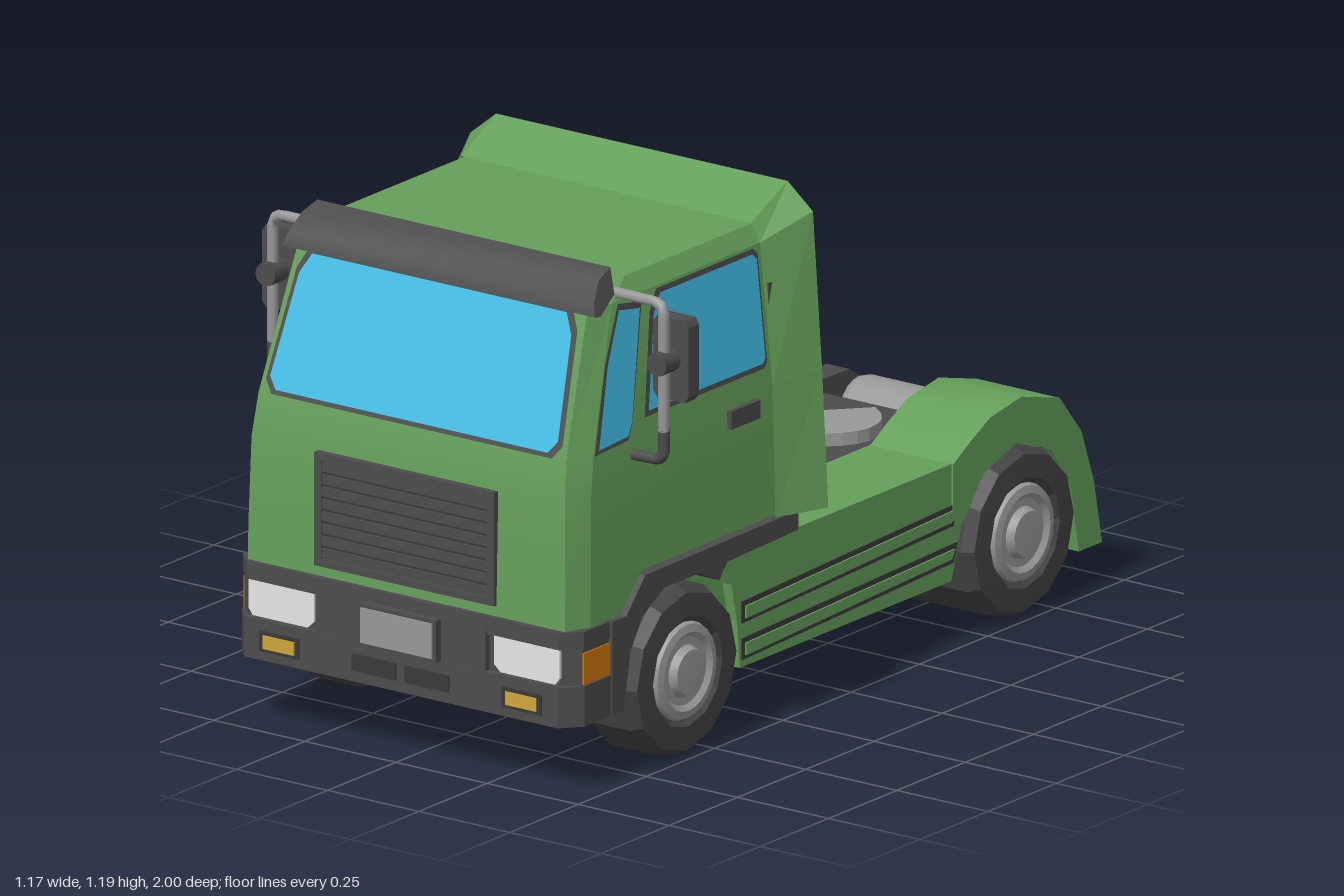
import * as THREE from 'three';
import { toCreasedNormals } from 'three/addons/utils/BufferGeometryUtils.js';

const mat = (name, color) => Object.assign(new THREE.MeshStandardMaterial({ color }), { name });

export function createModel() {
  const green = mat('green paint', 0x659f5a), dark = mat('dark plastic', 0x4c4c4c), tyre = mat('tyre rubber', 0x444444);
  const steel = mat('steel', 0x989898), glass = mat('blue glass', 0x42bfe6), lamp = mat('lamp white', 0xe6e6e6);
  const orange = mat('orange lens', 0xd2780a), yellow = mat('yellow lens', 0xcfa53c), black = mat('black recess', 0x3a3a3a);
  const model = new THREE.Group();
  model.name = 'tractorTruck';

  const add = (name, geo, material) => {
    const m = new THREE.Mesh(geo, material);
    m.name = name;
    model.add(m);
  };
  // mirrored copy across x = 0 with corrected winding
  const flip = (geo) => {
    const g = geo.index ? geo.toNonIndexed() : geo.clone();
    g.scale(-1, 1, 1);
    for (const key of Object.keys(g.attributes)) {
      const a = g.attributes[key], n = a.itemSize;
      for (let i = 0; i < a.count; i += 3)
        for (let k = 0; k < n; k++) {
          const p = (i + 1) * n + k, q = (i + 2) * n + k, t = a.array[p];
          a.array[p] = a.array[q];
          a.array[q] = t;
        }
    }
    return g;
  };
  const pair = (name, geo, material) => {
    add(name + 'Left', geo, material);
    add(name + 'Right', flip(geo), material);
  };
  const box = (x0, x1, y0, y1, z0, z1) =>
    new THREE.BoxGeometry(x1 - x0, y1 - y0, z1 - z0).translate((x0 + x1) / 2, (y0 + y1) / 2, (z0 + z1) / 2);
  const shape = (pts) => new THREE.Shape(pts.map((p) => new THREE.Vector2(p[0], p[1])));
  const extrude = (pts, depth) => new THREE.ExtrudeGeometry(shape(pts), { depth, bevelEnabled: false });
  const sideExtrude = (zy, x0, x1) => extrude(zy, x1 - x0).rotateY(-Math.PI / 2).translate(x1, 0, 0);
  const planExtrude = (xz, y0, y1) => extrude(xz, y1 - y0).rotateX(Math.PI / 2).translate(0, y1, 0);
  const faces = (tris) => {
    const g = new THREE.BufferGeometry();
    g.setAttribute('position', new THREE.Float32BufferAttribute(tris.flat(), 3));
    g.computeVertexNormals();
    return g;
  };
  // closed rings stacked upward, with caps
  const loft = (rings) => {
    const t = [], n = rings[0].length, last = rings[rings.length - 1];
    for (let i = 0; i + 1 < rings.length; i++)
      for (let j = 0; j < n; j++) {
        const k = (j + 1) % n, a = rings[i][j], b = rings[i][k], c = rings[i + 1][k], d = rings[i + 1][j];
        t.push(a, b, c, a, c, d);
      }
    for (let j = 1; j + 1 < n; j++) t.push(last[0], last[j], last[j + 1], rings[0][0], rings[0][j + 1], rings[0][j]);
    return faces(t);
  };

  // cab shell: height, half width, front half width, front z
  const rows = [[0.375, 0.46, 0.435, 0.962], [0.46, 0.46, 0.435, 0.96], [0.66, 0.456, 0.43, 0.955],
    [0.758, 0.452, 0.422, 0.94], [1.08, 0.418, 0.397, 0.828], [1.12, 0.395, 0.37, 0.75]];
  const at = (y, k) => {
    let i = 0;
    while (i < rows.length - 2 && y > rows[i + 1][0]) i++;
    return THREE.MathUtils.lerp(rows[i][k], rows[i + 1][k], (y - rows[i][0]) / (rows[i + 1][0] - rows[i][0]));
  };
  const ring = ([y, w, wf, f], back) =>
    [[-wf, y, f], [wf, y, f], [w, y, f - 0.06], [w, y, back], [-w, y, back], [-w, y, f - 0.06]];
  add('cabNose', loft([ring(rows[0], 0.78), ring(rows[1], 0.71)]), green);
  add('cabBody', toCreasedNormals(loft(rows.slice(1).map((r) => ring(r, 0.22))), 0.35), green);

  // flared wind deflector behind the cab, visible on both faces
  const half = [[0.464, 0.455, 0.512, 0.455], [0.456, 0.758, 0.495, 0.77], [0.422, 1.082, 0.47, 1.13], [0.397, 1.123, 0.4, 1.187]];
  const arch = [...half, ...half.map(([a, b, c, d]) => [-a, b, -c, d]).reverse()];
  const flare = [];
  for (let i = 0; i + 1 < arch.length; i++) {
    const [p, q] = [arch[i], arch[i + 1]];
    const a = [p[0], p[1], 0.23], b = [p[2], p[3], 0.1], c = [q[2], q[3], 0.1], d = [q[0], q[1], 0.23];
    flare.push(a, b, c, a, c, d, a, c, b, a, d, c);
  }
  add('windDeflector', faces(flare), green);
  add('cabBackPanel', box(-0.44, 0.44, 0.455, 0.99, 0.205, 0.222), dark);
  add('cabBackUpperPanel', box(-0.41, 0.41, 0.99, 1.1, 0.205, 0.222), steel);

  // thin plates that follow the cab faces
  const bend = (pts, fn) => {
    const g = new THREE.ShapeGeometry(shape(pts)), p = g.attributes.position;
    for (let i = 0; i < p.count; i++) p.setXYZ(i, ...fn(p.getX(i), p.getY(i)));
    g.computeVertexNormals();
    return g;
  };
  const frontPlate = (pts, off) => bend(pts, (x, y) => [x, y, at(y, 3) + off]);
  const sidePlate = (zy, off) => bend(zy.map(([z, y]) => [-z, y]), (u, y) => [at(y, 1) + off, y, -u]);
  const shrink = (pts, d) => {
    const c = [0, 1].map((k) => pts.reduce((s, p) => s + p[k], 0) / pts.length);
    const h = [0, 1].map((k) => Math.max(...pts.map((p) => Math.abs(p[k] - c[k]))));
    return pts.map((p) => p.map((v, k) => c[k] + (v - c[k]) * (1 - d / h[k])));
  };
  const screen = [[-0.385, 0.761], [0.385, 0.761], [0.407, 0.79], [0.385, 1.03], [0.36, 1.078], [-0.36, 1.078], [-0.385, 1.03], [-0.407, 0.79]];
  add('windscreenFrame', frontPlate(screen, 0.004), dark);
  add('windscreen', frontPlate(shrink(screen, 0.012), 0.008), glass);
  const doorWindow = [[0.69, 0.803], [0.25, 0.803], [0.24, 0.815], [0.24, 1.06], [0.255, 1.075], [0.61, 1.075], [0.64, 1.03]];
  const quarterWindow = [[0.878, 0.762], [0.755, 0.768], [0.735, 0.8], [0.665, 1.06], [0.75, 1.075], [0.815, 0.95]];
  for (const [name, pts] of [['doorWindow', doorWindow], ['quarterWindow', quarterWindow]]) {
    pair(name + 'Frame', sidePlate(pts, 0.003), dark);
    pair(name, sidePlate(shrink(pts, 0.013), 0.006), glass);
  }
  pair('doorHandle', box(0.445, 0.465, 0.7, 0.742, 0.285, 0.392), dark);
  // sun visor, narrowing toward its top edge
  const visor = sideExtrude([[0.845, 1.07], [0.835, 1.1], [0.8, 1.14], [0.752, 1.157], [0.76, 1.1], [0.825, 1.066]], -0.43, 0.43);
  const vp = visor.attributes.position;
  for (let i = 0; i < vp.count; i++) vp.setX(i, vp.getX(i) * (1 - (vp.getY(i) - 1.066) * 0.7));
  add('sunVisor', toCreasedNormals(visor, 0.7), dark);

  // grille: frame with slats set inside it
  add('grilleRecess', box(-0.24, 0.24, 0.405, 0.657, 0.94, 0.962), black);
  for (const [x0, x1, y0, y1] of [[-0.247, 0.247, 0.645, 0.662], [-0.247, 0.247, 0.4, 0.417], [-0.247, -0.228, 0.417, 0.645], [0.228, 0.247, 0.417, 0.645]])
    add('grilleFrame', box(x0, x1, y0, y1, 0.94, 0.971), dark);
  for (let i = 0; i < 8; i++) add('grilleSlat', box(-0.228, 0.228, 0.42 + i * 0.0285, 0.441 + i * 0.0285, 0.95, 0.968), dark);

  // front bumper and its lamps
  const plan = (w, f, c) => [[-w, 0.79], [w, 0.79], [w, f - c], [w - 0.04, f], [-w + 0.04, f], [-w, f - c]];
  add('bumperTop', planExtrude(plan(0.468, 0.975, 0.04), 0.335, 0.375), dark);
  add('bumperMiddle', planExtrude(plan(0.464, 0.965, 0.03), 0.245, 0.335), dark);
  add('bumperLower', planExtrude(plan(0.47, 0.982, 0.045), 0.157, 0.25), dark);
  add('bumperCentre', box(-0.23, 0.23, 0.24, 0.345, 0.9, 0.978), dark);
  add('frontPlate', box(-0.107, 0.107, 0.249, 0.346, 0.97, 0.996), dark);
  add('frontPlateFace', box(-0.098, 0.098, 0.257, 0.338, 0.99, 1), steel);
  pair('headlamp', extrude([[0.265, 0.252], [0.415, 0.252], [0.427, 0.268], [0.427, 0.333], [0.247, 0.333], [0.247, 0.268]], 0.009).translate(0, 0, 0.962), lamp);
  pair('fogLampBezel', box(0.278, 0.387, 0.178, 0.226, 0.975, 0.985), black);
  pair('fogLamp', box(0.29, 0.375, 0.186, 0.217, 0.98, 0.988), yellow);
  pair('bumperVent', box(0.012, 0.133, 0.182, 0.222, 0.975, 0.985), black);
  pair('sideIndicator', box(0.455, 0.467, 0.252, 0.325, 0.813, 0.935), orange);

  // front wheel arches and cab floor
  pair('frontArch', sideExtrude([[0.79, 0.375], [0.72, 0.452], [0.16, 0.457], [0.16, 0.412], [0.42, 0.405], [0.45, 0.37],
    [0.52, 0.405], [0.65, 0.405], [0.73, 0.36], [0.775, 0.29], [0.8, 0.16], [0.84, 0.16], [0.84, 0.375]], 0.24, 0.475), dark);
  add('cabFloor', box(-0.3, 0.3, 0.37, 0.457, 0.16, 0.8), dark);

  // chassis
  add('chassisFloor', box(-0.235, 0.235, 0.27, 0.365, -0.77, 0.82), dark);
  pair('chassisRail', planExtrude([[0.235, 0.8], [0.16, 0.8], [0.16, 0.1], [0.15, -0.05], [0.11, -0.4], [0.17, -0.77], [0.235, -0.77]], 0.22, 0.388), dark);
  pair('railEnd', sideExtrude([[-0.77, 0.388], [-0.89, 0.385], [-0.945, 0.35], [-0.975, 0.28], [-0.978, 0.157],
    [-0.92, 0.157], [-0.89, 0.22], [-0.77, 0.25]], 0.172, 0.235), dark);
  add('rearBar', box(-0.4, 0.4, 0.155, 0.197, -1, -0.955), dark);
  const tank = [[0, -0.17], [0.055, -0.17], [0.073, -0.158], [0.078, -0.14], [0.078, 0.14], [0.073, 0.158], [0.055, 0.17], [0, 0.17]];
  const lathe = (pts, n) => new THREE.LatheGeometry(pts.map((p) => new THREE.Vector2(...p)), n).rotateZ(-Math.PI / 2);
  add('airTank', lathe(tank, 20).translate(0, 0.295, -0.905), steel);

  // coupling plate with a slot open to the rear
  const plate = [[0, -0.01]];
  for (let i = 0; i <= 20; i++) {
    const a = -0.98 + (i / 20) * (Math.PI + 1.96);
    plate.push([0.18 * Math.cos(a), (a < 0 || a > Math.PI ? 0.145 : 0.135) * Math.sin(a)]);
  }
  add('couplingPlate', planExtrude(plate, 0.39, 0.42).translate(0, 0, -0.5), steel);
  add('couplingPin', new THREE.CylinderGeometry(0.033, 0.033, 0.033, 12).translate(0, 0.408, -0.5), dark);

  // side skirts, decks and rear mudguards
  pair('deck', box(0.235, 0.46, 0.385, 0.41, -0.47, 0.41), green);
  const skirt = [[0.425, 0.41], [0.385, 0.34], [0.365, 0.25], [0.355, 0.14], [-0.42, 0.14], [-0.46, 0.27], [-0.53, 0.36], [-0.5, 0.41]];
  pair('skirt', sideExtrude(skirt, 0.435, 0.46), green);
  pair('skirtInner', sideExtrude(skirt, 0.236, 0.25), green);
  for (const [y0, y1] of [[0.242, 0.308], [0.157, 0.218]]) {
    pair('skirtGroove', sideExtrude([[0.35, y0], [0.35, y0 + 0.05], [-0.44, y1 + 0.008], [-0.425, y0 + 0.025]], 0.45, 0.463), black);
    pair('skirtStrip', sideExtrude([[0.34, y0 + 0.01], [0.34, y0 + 0.038], [-0.425, y1 - 0.004], [-0.415, y0 + 0.036]], 0.45, 0.467), green);
  }
  pair('rearMudguard', toCreasedNormals(sideExtrude([[-0.42, 0.41], [-0.48, 0.445], [-0.555, 0.483], [-0.67, 0.502], [-0.81, 0.463], [-0.89, 0.365],
    [-0.935, 0.24], [-0.965, 0.09], [-0.88, 0.09], [-0.85, 0.25], [-0.78, 0.35], [-0.65, 0.4], [-0.53, 0.36], [-0.46, 0.27], [-0.42, 0.28]], 0.237, 0.465), 0.6), green);
  pair('tailLampBezel', box(0.265, 0.443, 0.262, 0.312, -0.938, -0.89), dark);
  [[0.273, 0.325, orange], [0.332, 0.375, lamp], [0.382, 0.435, orange]].forEach(([a, b, m]) => pair('tailLamp', box(a, b, 0.269, 0.305, -0.941, -0.935), m));

  // wheels: narrow in front, wide at the rear
  for (const [name, z, inner] of [['front', 0.585, 0.33], ['rear', -0.65, 0.24]]) {
    const wheel = (pts, n) => toCreasedNormals(lathe(pts, n).translate(0, 0.197, z), 0.3);
    pair(name + 'Tyre', wheel([[0, inner], [0.172, inner], [0.197, inner + 0.02], [0.197, 0.46], [0.182, 0.487], [0.128, 0.49], [0.115, 0.478], [0, 0.478]], 12), tyre);
    pair(name + 'Rim', wheel([[0.114, 0.475], [0.108, 0.488], [0.09, 0.492], [0.078, 0.482], [0.06, 0.482], [0.052, 0.5], [0, 0.502]], 24), steel);
  }

  // exhaust stack
  add('exhaustStack', extrude([[0.15, 0.457], [0.335, 0.457], [0.335, 0.68], [0.325, 1.02], [0.21, 1.02], [0.21, 0.76], [0.15, 0.68]], 0.1).translate(0, 0, 0.11), dark);
  add('exhaustOutlet', box(0.195, 0.345, 1, 1.07, 0.02, 0.2), dark);

  // mirrors
  const tube = (pts) => {
    const path = new THREE.CurvePath();
    const v = pts.map((p) => new THREE.Vector3(...p));
    for (let i = 0; i + 1 < v.length; i++) path.add(new THREE.LineCurve3(v[i], v[i + 1]));
    return new THREE.TubeGeometry(path, 24, 0.013, 8);
  };
  pair('mirrorArm', tube([[0.39, 1.095, 0.735], [0.515, 1.095, 0.735], [0.533, 1.085, 0.735], [0.537, 1.065, 0.735], [0.537, 0.8, 0.735]]), steel);
  pair('mirrorArmLower', tube([[0.537, 0.81, 0.735], [0.537, 0.745, 0.735], [0.52, 0.732, 0.735], [0.44, 0.73, 0.735]]), dark);
  const housing = [[0.5, 0.865], [0.575, 0.865], [0.585, 0.88], [0.585, 1.04], [0.575, 1.055], [0.5, 1.055], [0.488, 1.04], [0.488, 0.88]];
  pair('mirrorHousing', extrude(housing, 0.04).translate(0, 0, 0.67), dark);
  pair('mirrorGlass', extrude(shrink(housing, 0.01), 0.006).translate(0, 0, 0.666), glass);
  pair('mirrorKnob', new THREE.CylinderGeometry(0.027, 0.027, 0.055, 12).rotateX(Math.PI / 2).translate(0.537, 0.96, 0.735), dark);
  return model;
}
